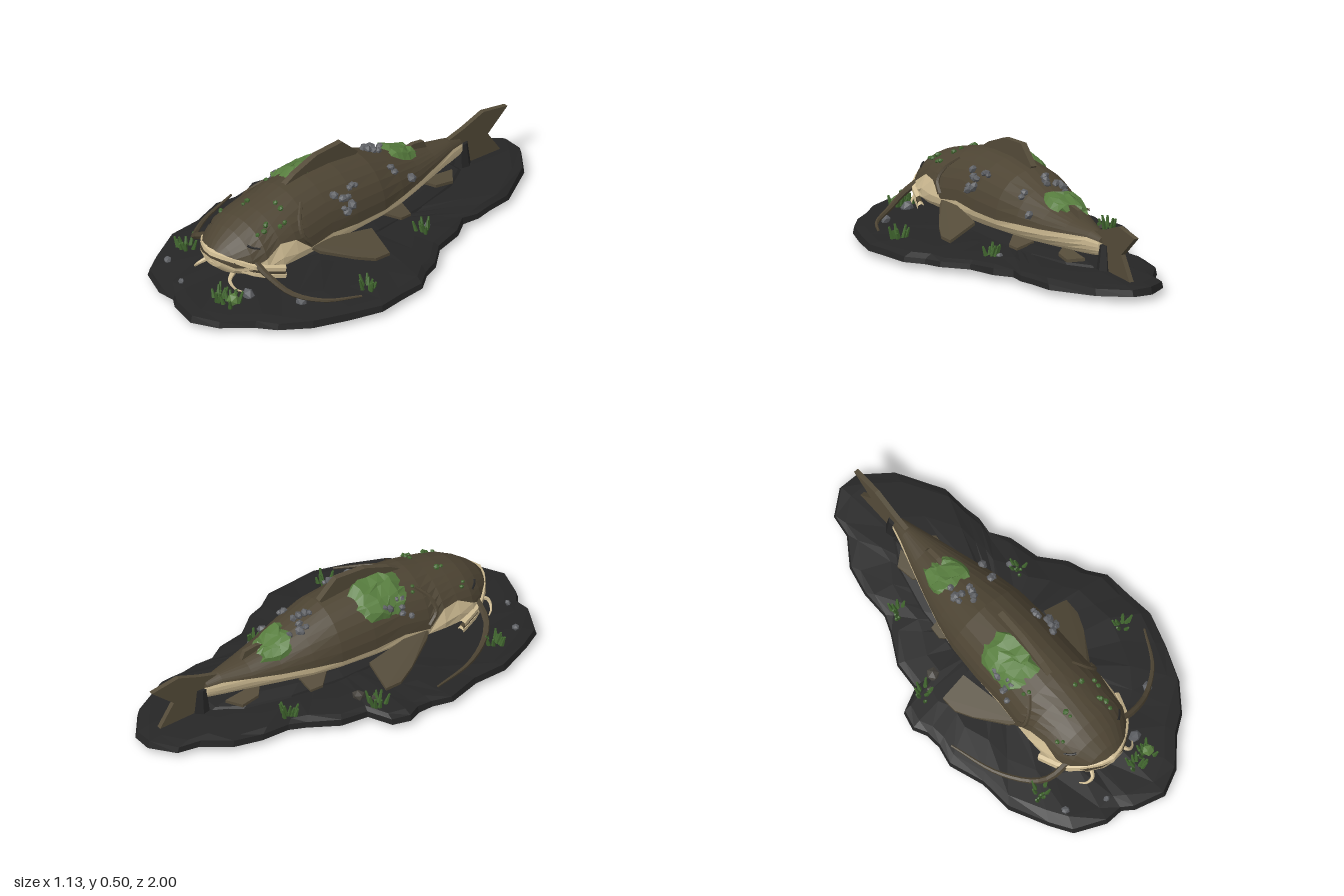
import * as THREE from 'three';
import { ConvexGeometry } from 'three/addons/geometries/ConvexGeometry.js';

const material = (name, color, side = THREE.FrontSide) => {
  const m = new THREE.MeshStandardMaterial({ color, side });
  m.name = name;
  return m;
};

// Fish cross-sections from snout to tail: z, half width, top, widest height, bottom, colour split angle / PI
const SECTIONS = [
  [0.775, 0.06, 0.225, 0.19, 0.15, 0.5], [0.74, 0.115, 0.26, 0.17, 0.12, 0.5],
  [0.68, 0.165, 0.3, 0.16, 0.1, 0.47], [0.62, 0.195, 0.328, 0.16, 0.09, 0.42],
  [0.54, 0.21, 0.35, 0.16, 0.085, 0.35], [0.46, 0.215, 0.367, 0.165, 0.08, 0.38],
  [0.38, 0.21, 0.388, 0.165, 0.08, 0.49], [0.25, 0.205, 0.4, 0.175, 0.075, 0.48],
  [0.1, 0.205, 0.398, 0.175, 0.075, 0.5], [-0.07, 0.195, 0.375, 0.17, 0.08, 0.5],
  [-0.2, 0.17, 0.325, 0.165, 0.08, 0.48], [-0.34, 0.13, 0.27, 0.165, 0.085, 0.47],
  [-0.47, 0.09, 0.235, 0.17, 0.09, 0.45], [-0.6, 0.05, 0.215, 0.165, 0.1, 0.37],
  [-0.67, 0.03, 0.195, 0.16, 0.11, 0.35],
];

// Point on the fish skin at length z and angle a from the top, lifted by off
function skin(z, a, off = 0) {
  let i = 0;
  while (i < SECTIONS.length - 2 && z < SECTIONS[i + 1][0]) i++;
  const A = SECTIONS[i], B = SECTIONS[i + 1], t = (z - A[0]) / (B[0] - A[0]);
  const [, w, top, mid, bottom] = A.map((v, k) => v + (B[k] - v) * t);
  const c = Math.cos(a), s = Math.sin(a);
  return [s * (w + off), mid + c * ((c > 0 ? top - mid : mid - bottom) + off), z];
}

// Surface from rows x cols points; the front side is column direction x row direction
function grid(rows, cols, fn) {
  const pos = [], idx = [];
  for (let r = 0; r <= rows; r++) for (let c = 0; c <= cols; c++) pos.push(...fn(r, c));
  for (let r = 0; r < rows; r++) for (let c = 0; c < cols; c++) {
    const a = r * (cols + 1) + c, d = a + cols + 1;
    idx.push(a, a + 1, d, a + 1, d + 1, d);
  }
  const g = new THREE.BufferGeometry();
  g.setAttribute('position', new THREE.Float32BufferAttribute(pos, 3));
  g.setIndex(idx);
  return g;
}

// Upright fin outlined by [z, y] points
function finGeometry(points, thickness) {
  const shape = new THREE.Shape(points.map(p => new THREE.Vector2(...p)));
  return new THREE.ExtrudeGeometry(shape, { depth: thickness, bevelEnabled: false })
    .translate(0, 0, -thickness / 2).rotateY(-Math.PI / 2);
}

// Thin convex fin through 3D points
function slab(points, side, thickness) {
  return new ConvexGeometry(points.flatMap(([x, y, z]) => [0, thickness].map(t =>
    new THREE.Vector3(x * side, y - t, z))));
}

// Tube through points, narrowing to its end
function taperTube(points, r0, r1) {
  const curve = new THREE.CatmullRomCurve3(points.map(p => new THREE.Vector3(...p)));
  const n = 14, sides = 6, g = new THREE.TubeGeometry(curve, n, 1, sides), p = g.attributes.position;
  for (let i = 0; i < p.count; i++) {
    const k = Math.floor(i / (sides + 1)) / n, c = curve.getPointAt(k);
    const v = new THREE.Vector3().fromBufferAttribute(p, i).sub(c).multiplyScalar(r0 + (r1 - r0) * k).add(c);
    p.setXYZ(i, v.x, v.y, v.z);
  }
  return g;
}

const OUTLINE = [
  [-.085, -1], [.01, -1], [.14, -.9], [.26, -.7], [.27, -.58], [.285, -.5], [.275, -.42], [.33, -.34],
  [.365, -.2], [.455, -.095], [.485, -.015], [.545, .065], [.555, .195], [.57, .32], [.525, .475], [.465, .635],
  [.375, .76], [.295, .82], [.19, .94], [.075, 1], [-.065, .965], [-.115, .93], [-.2, .935], [-.34, .875],
  [-.4, .78], [-.485, .61], [-.495, .45], [-.55, .29], [-.53, .195], [-.535, .12], [-.565, .06], [-.545, -.025],
  [-.435, -.08], [-.425, -.21], [-.35, -.345], [-.32, -.42], [-.32, -.555], [-.29, -.69], [-.205, -.81], [-.19, -.915],
].reverse();

export function createModel() {
  let seed = 7;
  const rand = (a = 0, b = 1) => {
    seed = (seed * 16807) % 2147483647;
    return a + (b - a) * seed / 2147483647;
  };
  const rock = material('dark rock', 0x262626);
  const brown = material('olive brown skin', 0x4d4433);
  const finMat = material('fin brown', 0x544b39);
  const cream = material('cream belly', 0xd0bd94);
  const moss = material('moss green', 0x587e3f, THREE.DoubleSide);
  const plant = material('plant green', 0x41662f);
  const grey = material('grey stone', 0x5e6064);
  const earth = material('brown stone', 0x45423c);

  const model = new THREE.Group(), fish = new THREE.Group();
  fish.name = 'fish';
  fish.position.x = -0.035;
  model.add(fish);
  // Faceted mesh
  const add = (parent, name, geometry, mat) => {
    const g = geometry.index ? geometry.toNonIndexed() : geometry;
    g.computeVertexNormals();
    const mesh = new THREE.Mesh(g, mat);
    mesh.name = name;
    parent.add(mesh);
    return mesh;
  };

  // Rock base: rings of [scale, height] from the underside to the crown
  const rings = [[0, 0], [1, 0], [0.99, 0.028], [0.93, 0.04], [0.72, 0.053], [0.4, 0.06], [0, 0.062]];
  const jitter = OUTLINE.map(() => rings.map(() => rand(-0.005, 0.005)));
  add(model, 'rockBase', grid(rings.length - 1, OUTLINE.length, (r, c) => {
    const k = c % OUTLINE.length, [s, y] = rings[r];
    return [OUTLINE[k][0] * s, y + (r > 1 && r < 6 ? jitter[k][r] : 0), OUTLINE[k][1] * s];
  }), rock);
  add(model, 'rockMound', new THREE.SphereGeometry(1, 14, 8).scale(0.185, 0.065, 0.65).translate(-0.035, 0.04, -0.05), rock);
  add(model, 'tailRock', new THREE.CylinderGeometry(0.028, 0.045, 0.13, 7).translate(-0.035, 0.1, -0.688), rock);

  // Body: brown back and cream belly meet along the split angle
  const last = SECTIONS.length - 1;
  const half = (from, to, n) => grid(last + 2, n, (r, c) => {
    const s = SECTIONS[Math.min(Math.max(r - 1, 0), last)];
    if (r === 0 || r === last + 2) return [0, s[3], s[0] + (r ? -0.01 : 0.008)];
    const a = from(s[5] * Math.PI), b = to(s[5] * Math.PI);
    return skin(s[0], a + (b - a) * c / n);
  });
  add(fish, 'back', half(s => -s, s => s, 14), brown);
  add(fish, 'belly', half(s => s, s => 2 * Math.PI - s, 12), cream);

  // Mouth: two cream lips with a dark slit between
  const lip = (name, drop, push, radius, mat) => {
    const side = [[0.215, 0.138, 0.54], [0.17, 0.168, 0.655], [0.085, 0.204, 0.735]];
    const pts = [...side.map(([x, y, z]) => [-x, y, z]), [0, 0.214, 0.772], ...side.reverse()]
      .map(([x, y, z]) => [x * (1 + push), y - drop, z + push * 0.3]);
    add(fish, name, taperTube(pts, radius, radius), mat);
  };
  lip('upperLip', 0, 0.01, 0.017, cream);
  lip('mouthSlit', 0.02, 0, 0.012, brown);
  lip('lowerLip', 0.038, -0.01, 0.016, cream);

  // Upright fins
  add(fish, 'dorsalFin', finGeometry([[0.37, 0.38], [0.3, 0.42], [0.17, 0.465], [0.02, 0.47], [-0.07, 0.385], [-0.03, 0.35]], 0.028), finMat);
  add(fish, 'adiposeFin', finGeometry([[-0.3, 0.26], [-0.4, 0.28], [-0.46, 0.27], [-0.48, 0.225], [-0.38, 0.23]], 0.02), finMat);
  add(fish, 'tailFin', finGeometry([[-0.56, 0.2], [-0.7, 0.235], [-0.81, 0.272], [-0.95, 0.245],
    [-0.835, 0.15], [-0.915, 0.03], [-0.78, 0.04], [-0.69, 0.06], [-0.64, 0.13]], 0.022), finMat);

  // Paired parts
  for (const s of [1, -1]) {
    add(fish, 'pectoralFin', slab([[0.18, 0.19, 0.4], [0.23, 0.15, 0.35], [0.315, 0.1, 0.21],
      [0.35, 0.075, 0.13], [0.352, 0.072, 0.05], [0.23, 0.14, 0.045]], s, 0.014), finMat);
    add(fish, 'pelvicFin', slab([[0.04, 0.11, -0.4], [0.1, 0.09, -0.45], [0.11, 0.08, -0.54], [0.05, 0.09, -0.59]], s, 0.014), finMat);
    add(fish, 'bellyFin', slab([[0.12, 0.11, -0.1], [0.185, 0.08, -0.17], [0.18, 0.075, -0.23], [0.1, 0.1, -0.24]], s, 0.012), finMat);
    add(fish, 'gillRidge', taperTube([0.6, 0.9, 1.2, 1.45].map((a, i) => skin([0.36, 0.41, 0.42, 0.38][i], a * s, 0.001)), 0.009, 0.012), brown);
    // Closed eyes
    add(fish, 'eyeSlit', taperTube([0.78, 0.9, 1.0].map((a, i) => skin([0.675, 0.66, 0.635][i], a * s, 0.001)), 0.006, 0.004), rock);
    add(fish, 'chinBarbel', taperTube([[0.08, 0.13, 0.72], [0.1, 0.11, 0.76], [0.13, 0.08, 0.755], [0.15, 0.065, 0.73]]
      .map(([x, y, z]) => [x * s, y, z]), 0.012, 0.003), cream);
  }
  // Long whiskers
  add(model, 'rightBarbel', taperTube([[-0.18, 0.19, 0.66], [-0.28, 0.135, 0.65], [-0.34, 0.09, 0.6], [-0.43, 0.068, 0.46], [-0.5, 0.068, 0.24]], 0.017, 0.005), brown);
  add(model, 'leftBarbel', taperTube([[0.11, 0.19, 0.66], [0.2, 0.145, 0.65], [0.3, 0.09, 0.61], [0.41, 0.068, 0.52], [0.49, 0.065, 0.37]], 0.017, 0.005), brown);

  // Moss mats following the back: z range, angle range
  for (const [z0, z1, a0, a1] of [[0.31, 0.06, -1.1, 0.12], [-0.25, -0.41, -0.95, 0.6]]) {
    add(fish, 'mossMat', grid(6, 7, (r, c) => {
      const edge = r === 0 || r === 6 || c === 0 || c === 7;
      const z = z0 + (z1 - z0) * r / 6 + rand(-0.018, 0.018);
      const pinch = 1 - 0.35 * Math.abs(r / 3 - 1);
      const a = (a0 + a1) / 2 + (a1 - a0) * (c / 7 - 0.5) * pinch + rand(-0.07, 0.07);
      return skin(z, a, edge ? -0.004 : rand(0.01, 0.024));
    }), moss);
  }

  const stone = (parent, p, size, mat, name) => {
    const m = add(parent, name, new THREE.IcosahedronGeometry(size, 0).scale(1, 0.75, 0.9), mat);
    m.position.set(...p);
    m.rotation.set(rand(0, 1), rand(0, 6), rand(0, 1));
  };
  // Pebbles on the back: z, angle, count
  for (const [z, a, n] of [[0.13, 0.92, 10], [0.23, -0.88, 8], [-0.2, -0.15, 9], [-0.23, 0.85, 3]])
    for (let i = 0; i < n; i++)
      stone(fish, skin(z + rand(-0.07, 0.07), a + rand(-0.3, 0.3), 0.006), rand(0.015, 0.026), grey, 'backPebble');
  // Small moss tufts on the head
  for (const [z, a] of [[0.54, -0.25], [0.56, 0.5], [0.59, -0.8], [0.47, 0.35], [0.5, 0.8], [0.6, 0.75], [0.35, -0.6]])
    for (let i = 0; i < 2; i++)
      stone(fish, skin(z + rand(-0.02, 0.02), a + rand(-0.1, 0.1), 0.002), rand(0.01, 0.017), plant, 'mossTuft');

  // Leafy clumps on the base
  for (const [x, z] of [[-0.27, -0.385], [0.27, -0.2], [-0.43, -0.025], [0.43, 0.285], [-0.34, 0.65], [0.06, 0.83], [0.13, 0.81]]) {
    for (let i = 0; i < 9; i++) {
      const h = rand(0.04, 0.07), t = rand(0, 6.28), d = rand(0.008, 0.038);
      const blade = add(model, 'plantBlade', new THREE.CylinderGeometry(0.005, 0.011, h, 5).translate(0, h / 2, 0), plant);
      blade.position.set(x + Math.cos(t) * d, 0.038, z + Math.sin(t) * d);
      blade.rotation.set(Math.sin(t) * 0.3, 0, -Math.cos(t) * 0.3);
    }
  }
  stone(model, [0.14, 0.07, 0.81], 0.032, moss, 'mossLump');
  // Loose stones on the base
  for (const [x, z, size, mat] of [[-0.345, -0.065, 0.034, earth], [0.33, 0.58, 0.027, grey], [-0.31, 0.785, 0.02, grey],
    [-0.14, 0.86, 0.016, grey], [0.14, 0.72, 0.035, grey], [-0.4, -0.02, 0.018, earth], [0.24, -0.24, 0.018, grey]])
    stone(model, [x, 0.055, z], size, mat, 'looseStone');
  return model;
}
